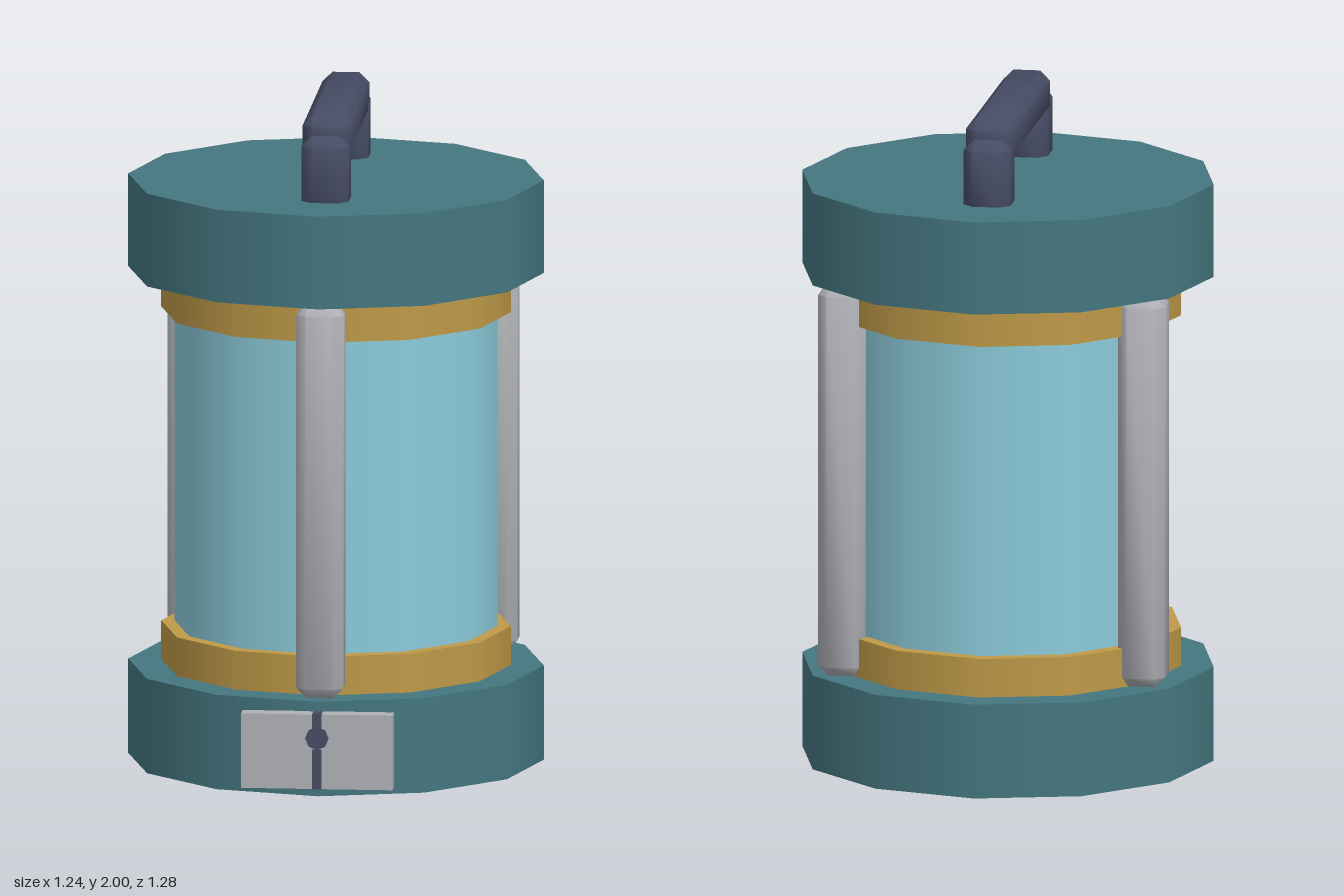
import * as THREE from 'three';
import { ConvexGeometry } from 'three/addons/geometries/ConvexGeometry.js';
import { mergeVertices, toCreasedNormals } from 'three/addons/utils/BufferGeometryUtils.js';

const material = (name, color) => {
  const m = new THREE.MeshStandardMaterial({ color });
  m.name = name;
  return m;
};

// Box with every edge and corner cut off by the bevel b
function bevelledBox(w, h, d, b) {
  const points = [];
  for (const sx of [-1, 1]) for (const sy of [-1, 1]) for (const sz of [-1, 1]) {
    for (let axis = 0; axis < 3; axis++) {
      const inset = [0, 1, 2].map((i) => (i === axis ? 0 : b));
      points.push(new THREE.Vector3(
        sx * (w / 2 - inset[0]), sy * (h / 2 - inset[1]), sz * (d / 2 - inset[2])));
    }
  }
  const g = mergeVertices(new ConvexGeometry(points).deleteAttribute('normal'));
  return toCreasedNormals(g, 0.87);
}

export function createModel() {
  const teal = material('teal casing', 0x457780);
  const gold = material('gold trim', 0xbf9a48);
  const glass = material('pale blue glass', 0x8cccdc);
  const grey = material('grey metal', 0xafb1b6);
  const dark = material('dark slate', 0x474d66);

  const group = new THREE.Group();
  const AXIS_Z = -0.022; // axis of the canister
  const add = (name, geometry, mat, x, y, z) => {
    const mesh = new THREE.Mesh(geometry, mat);
    mesh.name = name;
    mesh.position.set(x, y, z);
    group.add(mesh);
    return mesh;
  };
  const drum = (name, radius, y0, y1, mat) =>
    add(name, new THREE.CylinderGeometry(radius, radius, y1 - y0, 12), mat, 0, (y0 + y1) / 2, AXIS_Z);

  // Canister: caps, trim rings and glass
  drum('bottomCap', 0.618, 0, 0.285, teal);
  drum('topCap', 0.618, 1.47, 1.75, teal);
  drum('bottomRing', 0.52, 0.28, 0.402, gold);
  drum('topRing', 0.52, 1.35, 1.475, gold);
  drum('glassBody', 0.48, 0.39, 1.36, glass);

  // Three guard posts, one at the front
  const post = bevelledBox(0.14, 1.185, 0.14, 0.03);
  for (let i = 0; i < 3; i++) {
    const a = (i * Math.PI * 2) / 3;
    add('guardPost' + (i + 1), post, grey, Math.sin(a) * 0.52, 0.8775, AXIS_Z + Math.cos(a) * 0.52);
  }

  // Carrying handle
  for (const s of [-1, 1]) {
    add(s > 0 ? 'frontHandleLeg' : 'backHandleLeg',
      bevelledBox(0.14, 0.245, 0.14, 0.03), dark, 0, 1.8225, AXIS_Z + s * 0.34);
  }
  add('handleBar', bevelledBox(0.14, 0.135, 0.74, 0.03), dark, 0, 1.9325, AXIS_Z);

  // Lock plate with a keyhole and slot
  add('lockPlate', new THREE.BoxGeometry(0.45, 0.225, 0.053), grey, 0, 0.1425, 0.6115);
  add('lowerSlot', new THREE.BoxGeometry(0.028, 0.12, 0.055), dark, 0, 0.089, 0.612);
  add('upperSlot', new THREE.BoxGeometry(0.028, 0.09, 0.055), dark, 0, 0.2115, 0.612);
  const keyhole = add('keyhole', new THREE.CylinderGeometry(0.035, 0.035, 0.005, 8), dark, 0, 0.183, 0.6375);
  keyhole.rotation.x = Math.PI / 2;

  return group;
}
